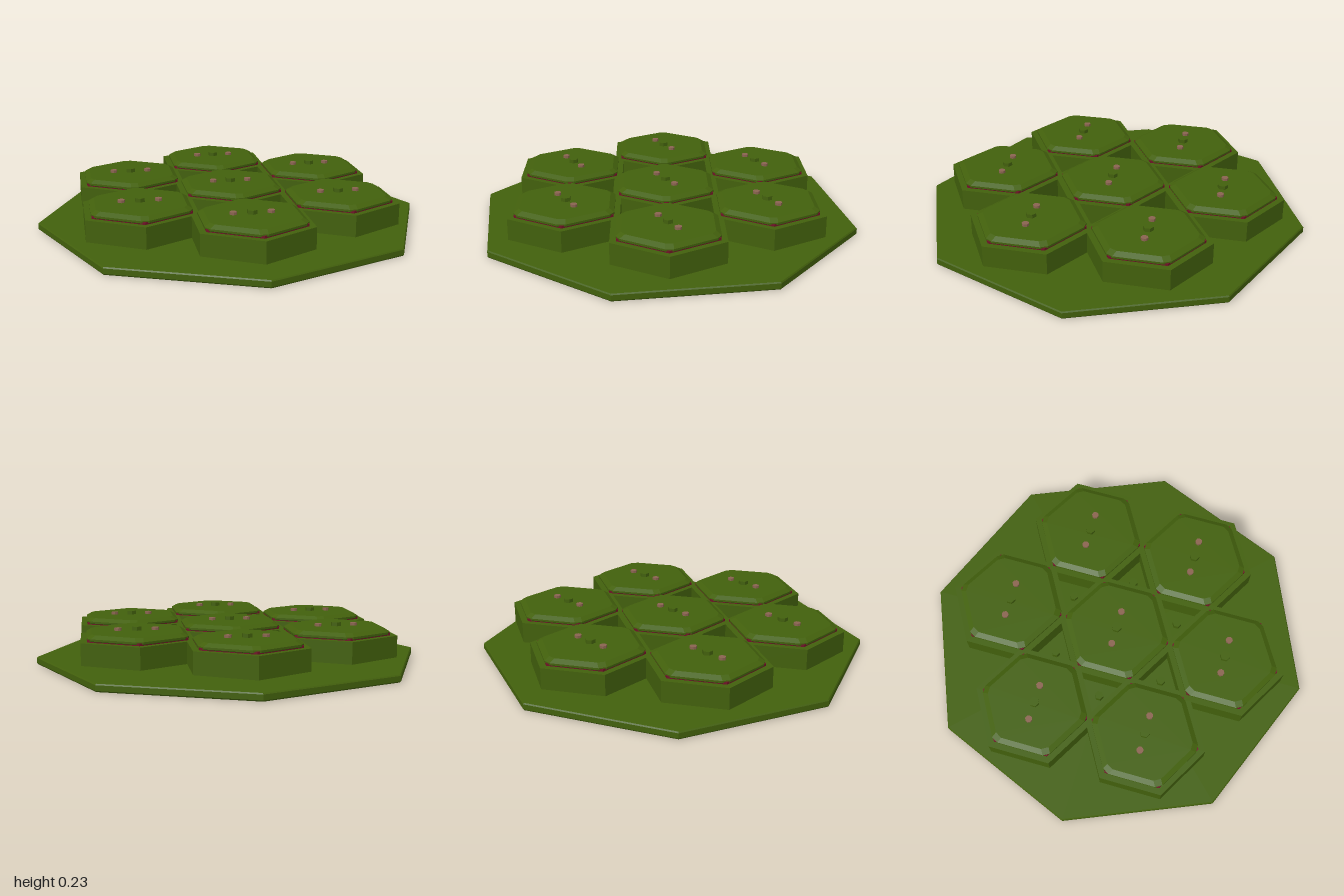
import * as THREE from 'three';

const mat = (name, color, extra = {}) => {
  const m = new THREE.MeshStandardMaterial({ color, flatShading: true, ...extra });
  m.name = name;
  return m;
};

// Hexagon with its corners trimmed, points toward +z and -z
function trimmedHex(radius, trim) {
  const points = [];
  for (let i = 0; i < 6; i++) {
    const corner = (k) => new THREE.Vector2(Math.sin(k * Math.PI / 3), Math.cos(k * Math.PI / 3)).multiplyScalar(radius);
    const c = corner(i);
    points.push(c.clone().lerp(corner(i - 1), trim / radius), c.clone().lerp(corner(i + 1), trim / radius));
  }
  return points;
}

// Closed solid through stacked trimmed hexagons given as [y, radius]
function hexSolid(levels, trim) {
  const pos = [], idx = [];
  for (const [y, r] of levels) for (const p of trimmedHex(r, trim)) pos.push(p.x, y, p.y);
  const n = 12, last = (levels.length - 1) * n;
  for (let l = 0; l < levels.length - 1; l++) {
    for (let i = 0; i < n; i++) {
      const a = l * n + i, b = l * n + (i + 1) % n;
      idx.push(a, b, b + n, a, b + n, a + n);
    }
  }
  for (let i = 1; i < n - 1; i++) idx.push(0, i + 1, i, last, last + i, last + i + 1);
  const g = new THREE.BufferGeometry();
  g.setAttribute('position', new THREE.Float32BufferAttribute(pos, 3));
  g.setIndex(idx);
  g.computeVertexNormals();
  return g;
}

export function createModel() {
  const model = new THREE.Group();
  model.name = 'hexCellPlatform';
  const green = mat('olive green', 0x42600c);
  const shellGreen = mat('olive green shell', 0x42600c, { side: THREE.DoubleSide });
  const copper = mat('dull copper', 0x8a6450);
  const red = mat('dark red', 0x6e1426);

  const add = (parent, name, geometry, material, x = 0, y = 0, z = 0) => {
    const mesh = new THREE.Mesh(geometry, material);
    mesh.name = name;
    mesh.position.set(x, y, z);
    parent.add(mesh);
    return mesh;
  };
  const prism = (r, y0, y1, sides, open = false) =>
    new THREE.CylinderGeometry(r, r, y1 - y0, sides, 1, open).translate(0, (y0 + y1) / 2, 0);

  // Octagonal base plate with a slight edge bevel
  add(model, 'basePlate', prism(1, 0.006, 0.032, 8), green);
  add(model, 'baseTopBevel', new THREE.CylinderGeometry(0.995, 1, 0.006, 8), green, 0, 0.035, 0);
  add(model, 'baseBottomBevel', new THREE.CylinderGeometry(1, 0.995, 0.006, 8), green, 0, 0.003, 0);

  // Shared parts of every cell
  const wall = prism(0.313, 0.07, 0.178, 6, true);
  const lid = new THREE.CircleGeometry(0.313, 6, Math.PI / 2).rotateX(-Math.PI / 2);
  const seal = prism(0.277, 0.178, 0.19, 6);
  const cap = hexSolid([[0.178, 0.272], [0.185, 0.281], [0.195, 0.281], [0.211, 0.252]], 0.022);
  const bolt = prism(0.026, 0.205, 0.23, 6);
  const terminal = prism(0.018, 0.205, 0.224, 8);

  // One cell in the middle and six around it
  const centres = [[0, 0]];
  for (let i = 0; i < 6; i++) {
    const a = i * Math.PI / 3;
    centres.push([0.577 * Math.sin(a), 0.577 * Math.cos(a)]);
  }
  for (const [x, z] of centres) {
    const cell = new THREE.Group();
    cell.name = 'hexCell';
    cell.position.set(x, 0, z);
    add(cell, 'cellWall', wall, shellGreen);
    add(cell, 'cellLid', lid, shellGreen, 0, 0.178, 0);
    add(cell, 'cornerSeal', seal, red);
    add(cell, 'cellCap', cap, green);
    add(cell, 'centreBolt', bolt, green);
    for (const side of [-1, 1]) add(cell, 'terminal', terminal, copper, side * 0.091);
    model.add(cell);
  }

  // Posts on the base in the gaps between cells
  const post = prism(0.023, 0.03, 0.068, 6);
  for (let i = 0; i < 6; i++) {
    const a = i * Math.PI / 3;
    add(model, 'basePost', post, green, 0.333 * Math.cos(a), 0, 0.333 * Math.sin(a));
  }
  return model;
}
